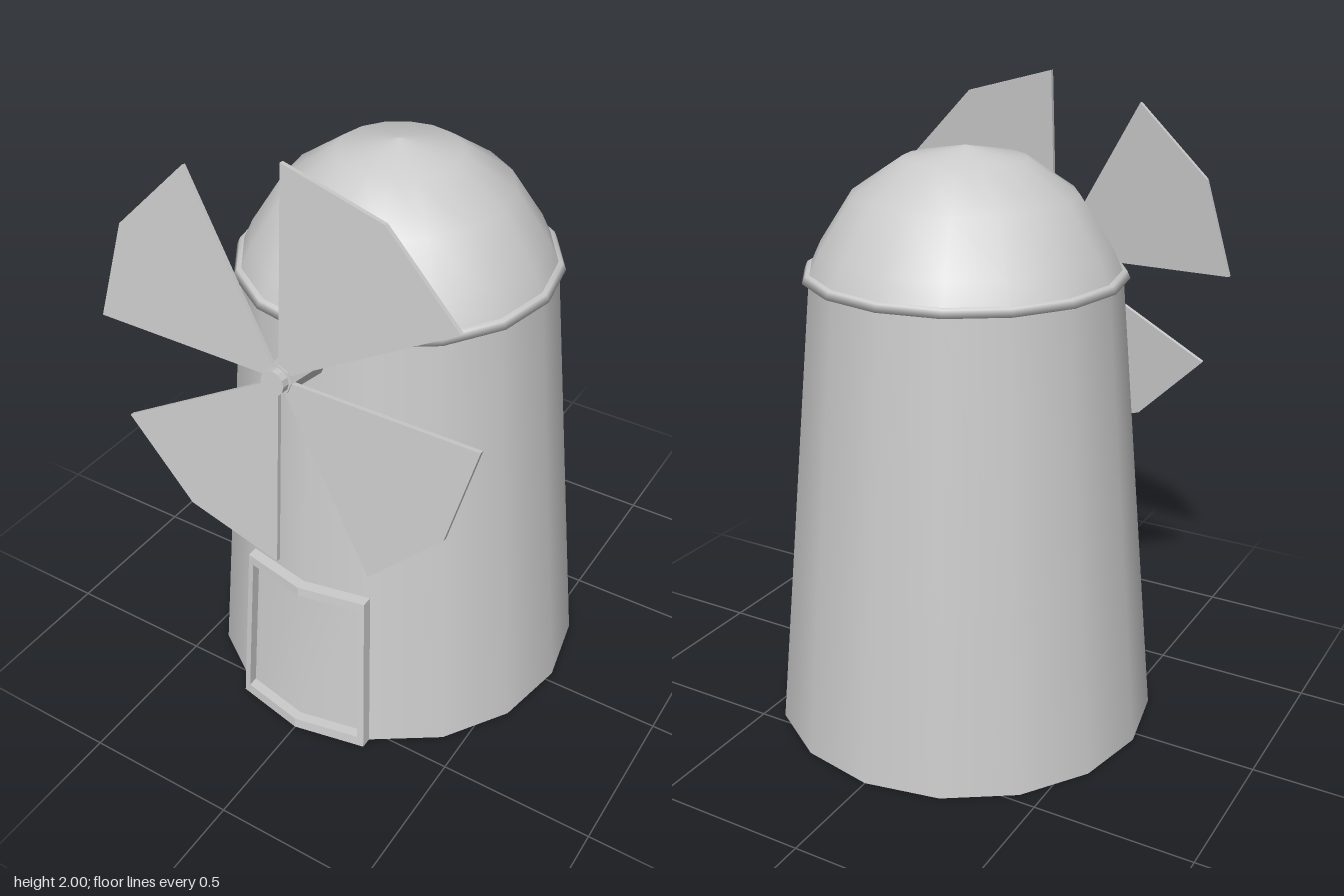
import * as THREE from 'three';

const CZ = -0.035;                       // tower axis
const SIDES = 16;
const radiusAt = (y) => 0.615 - 0.137 * (y / 1.455);

const mat = () => new THREE.MeshStandardMaterial({ color: 0xcccccc, side: THREE.DoubleSide });
const flat = () => new THREE.MeshStandardMaterial({ color: 0xcccccc, flatShading: true });

function add(parent, name, geometry, material) {
  const mesh = new THREE.Mesh(geometry, material);
  mesh.name = name;
  parent.add(mesh);
  return mesh;
}

function lathe(points) {
  return new THREE.LatheGeometry(points.map(([r, y]) => new THREE.Vector2(r, y)), SIDES);
}

// Bends a box given in (u = -1..1, y, depth) around the two front faces of the tower
function doorPart(u0, u1, y0, y1, d0, d1) {
  const g = new THREE.BoxGeometry(u1 - u0, y1 - y0, d1 - d0, 2, 1, 1);
  g.translate((u0 + u1) / 2, (y0 + y1) / 2, (d0 + d1) / 2);
  const p = g.attributes.position;
  const a = (Math.PI * 2) / SIDES;
  for (let i = 0; i < p.count; i++) {
    const u = p.getX(i), y = p.getY(i), r = radiusAt(y);
    p.setXYZ(i, u * r * Math.sin(a), y,
      CZ + r * (1 - Math.abs(u) * (1 - Math.cos(a))) + p.getZ(i));
  }
  g.computeVertexNormals();
  return g;
}

export function createModel() {
  const model = new THREE.Group();
  model.name = 'windmill';

  // Tapered tower, open underneath
  add(model, 'tower', lathe([[radiusAt(0), 0], [radiusAt(0.58), 0.58], [radiusAt(1.455), 1.455]]), mat())
    .position.z = CZ;

  // Domed cap and its eave
  add(model, 'eave', lathe([[0.47, 1.453], [0.498, 1.453], [0.488, 1.475], [0.47, 1.478]]), mat())
    .position.z = CZ;
  add(model, 'dome', lathe([[0.476, 1.474], [0.445, 1.54], [0.342, 1.7], [0.187, 1.805], [0, 1.84]]), mat())
    .position.z = CZ;

  // Doorway: frame bent along the wall, with a panel set back inside it
  const door = new THREE.Group();
  door.name = 'doorway';
  add(door, 'doorLintel', doorPart(-1, 1, 0.55, 0.58, -0.005, 0.035), flat());
  add(door, 'doorSill', doorPart(-1, 1, 0, 0.035, -0.005, 0.035), flat());
  for (const s of [-1, 1]) {
    add(door, s > 0 ? 'leftJamb' : 'rightJamb',
      doorPart(s > 0 ? 0.91 : -1, s > 0 ? 1 : -0.91, 0.035, 0.55, -0.005, 0.035), flat());
  }
  add(door, 'doorPanel', doorPart(-0.91, 0.91, 0.035, 0.55, -0.004, 0.003), mat());
  model.add(door);

  // Sail wheel, leaning back with the wall
  const wheel = new THREE.Group();
  wheel.name = 'sailWheel';
  wheel.position.set(0, 1.38, 0.587);
  wheel.rotation.x = -0.0925;
  model.add(wheel);

  const shaft = new THREE.CylinderGeometry(0.045, 0.055, 0.16, 8).rotateX(Math.PI / 2);
  add(wheel, 'shaft', shaft, flat()).position.z = -0.07;
  const knob = new THREE.CylinderGeometry(0.038, 0.038, 0.025, 12).rotateX(Math.PI / 2);
  add(wheel, 'hubCap', knob, flat()).position.z = 0.024;

  // Four fan-shaped sails, each spanning sixty degrees
  const fan = new THREE.Shape();
  fan.moveTo(0, 0);
  for (const deg of [30, 60, 90]) {
    const a = THREE.MathUtils.degToRad(deg);
    fan.lineTo(0.622 * Math.cos(a), 0.622 * Math.sin(a));
  }
  fan.closePath();
  const sail = new THREE.ExtrudeGeometry(fan, { depth: 0.014, bevelEnabled: false });
  sail.translate(0, 0, -0.007);
  for (let i = 0; i < 4; i++) {
    add(wheel, 'sail' + (i + 1), sail, flat()).rotation.z = i * Math.PI / 2;
  }
  return model;
}
